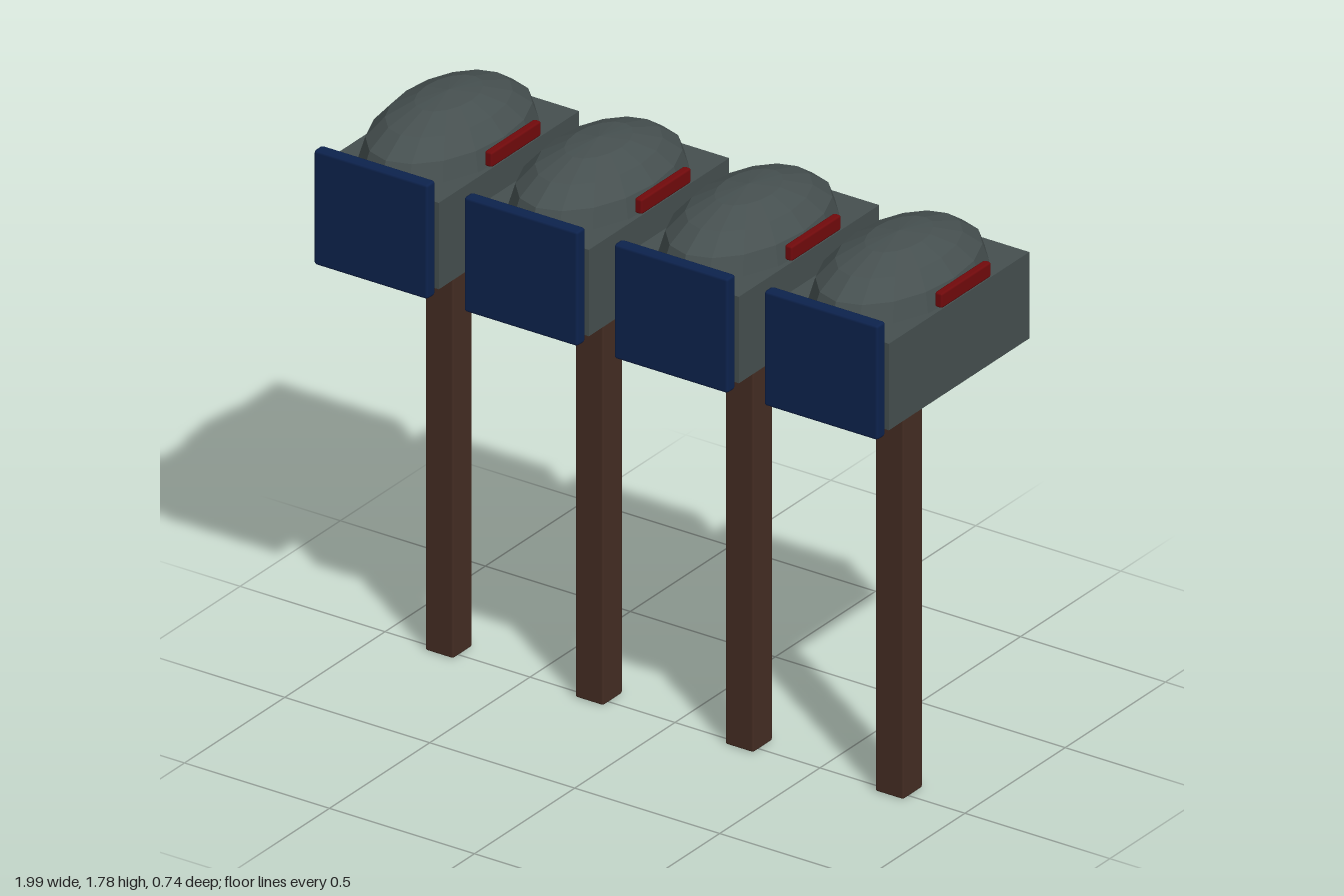
import * as THREE from 'three';
import { RoundedBoxGeometry } from 'three/addons/geometries/RoundedBoxGeometry.js';

const flat = (name, color, flatShading = false) => {
  const m = new THREE.MeshStandardMaterial({ color, flatShading });
  m.name = name;
  return m;
};

export function createModel() {
  const grey = flat('greyMetal', 0x465050, true);
  const blue = flat('navyPaint', 0x0d234e);
  const brown = flat('brownWood', 0x452d23);
  const red = flat('redPaint', 0x720a0c);

  // Faceted half ellipsoid for the roof
  const domeGeo = new THREE.SphereGeometry(1, 16, 4, 0, Math.PI * 2, 0, Math.PI / 2);
  domeGeo.scale(0.206, 0.156, 0.34);

  // Shared parts: name, geometry, material, position
  const parts = [
    ['post', new RoundedBoxGeometry(0.097, 1.36, 0.097, 1, 0.006), brown, [0, 0.68, -0.018]],
    ['boxBody', new THREE.BoxGeometry(0.415, 0.275, 0.7), grey, [0, 1.485, -0.018]],
    ['domedRoof', domeGeo, grey, [0, 1.622, -0.018]],
    ['door', new RoundedBoxGeometry(0.393, 0.365, 0.042, 1, 0.009), blue, [0, 1.509, 0.352]],
    ['flag', new RoundedBoxGeometry(0.026, 0.048, 0.248, 1, 0.007), red, [0.221, 1.67, -0.018]],
  ];

  // Row of four identical mailboxes
  const model = new THREE.Group();
  model.name = 'mailboxRow';
  for (let i = 0; i < 4; i++) {
    const unit = new THREE.Group();
    unit.name = `mailbox${i + 1}`;
    for (const [name, geo, mat, pos] of parts) {
      const mesh = new THREE.Mesh(geo, mat);
      mesh.name = name;
      mesh.position.set(...pos);
      unit.add(mesh);
    }
    unit.position.x = -0.7925 + i * 0.5175;
    model.add(unit);
  }
  return model;
}
